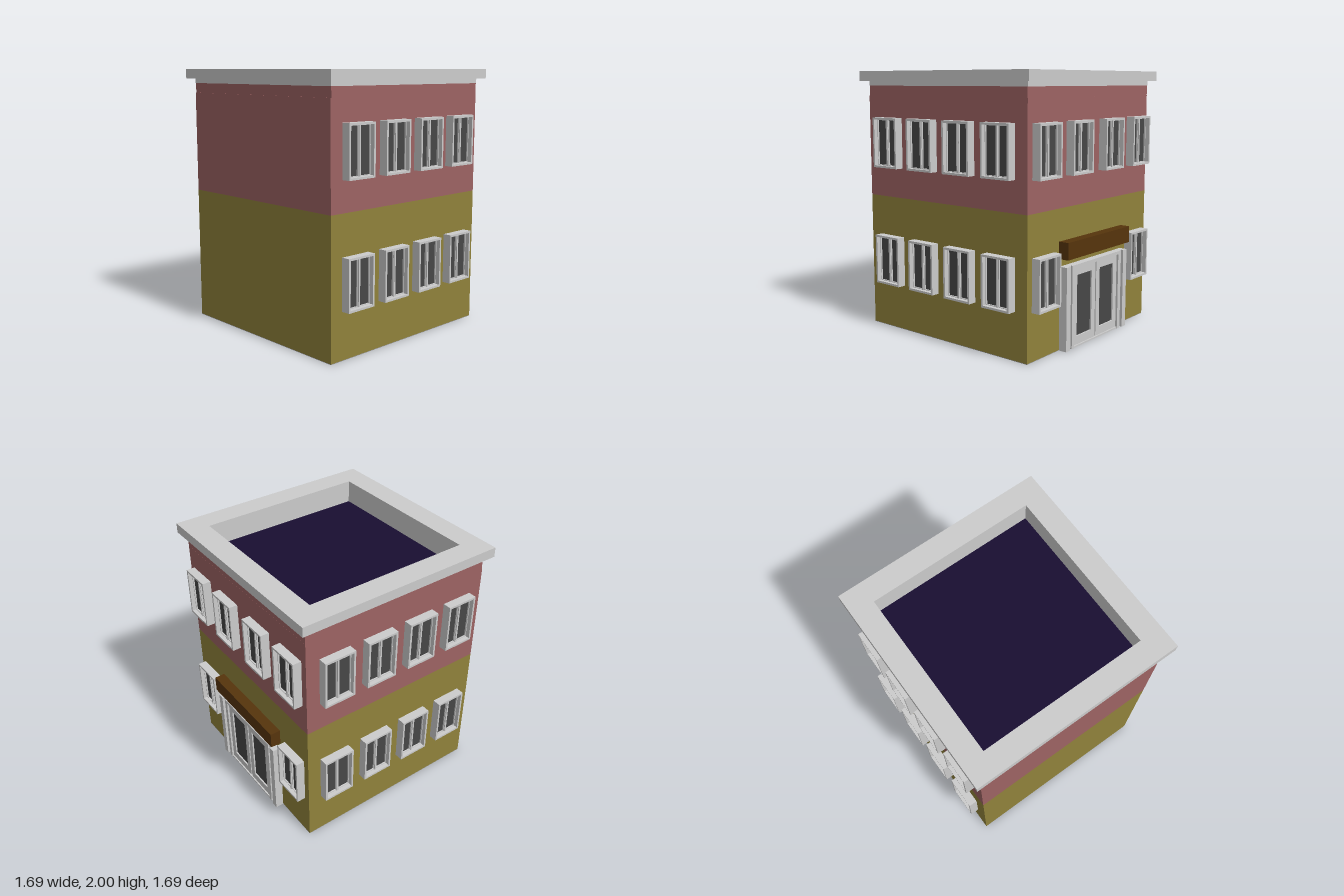
import * as THREE from 'three';

const mat = (color) => new THREE.MeshStandardMaterial({ color });
const GREY = mat(0xcccccc), OLIVE = mat(0x90823b), PINK = mat(0x9d6363);
const NAVY = mat(0x180e31), BROWN = mat(0x56340c), GLASS = mat(0x474747), BASE = mat(0x999999);

const HALF = 0.777;   // half width of the walls
const CZ = 0.0125;    // centre of the building in z

// Box given by its minimum and maximum corners
function box(parent, name, material, [x0, y0, z0], [x1, y1, z1]) {
  const mesh = new THREE.Mesh(new THREE.BoxGeometry(x1 - x0, y1 - y0, z1 - z0), material);
  mesh.position.set((x0 + x1) / 2, (y0 + y1) / 2, (z0 + z1) / 2);
  mesh.name = name;
  parent.add(mesh);
  return mesh;
}

function rect(target, x0, y0, x1, y1) {
  target.moveTo(x0, y0).lineTo(x1, y0).lineTo(x1, y1).lineTo(x0, y1).closePath();
  return target;
}

// Rectangular plate with rectangular holes, extruded along +z
function plate(parent, name, outer, holes, depth) {
  const shape = rect(new THREE.Shape(), ...outer);
  holes.forEach((h) => shape.holes.push(rect(new THREE.Path(), ...h)));
  const mesh = new THREE.Mesh(
    new THREE.ExtrudeGeometry(shape, { depth, bevelEnabled: false }), GREY);
  mesh.name = name;
  parent.add(mesh);
  return mesh;
}

// Horizontal square ring between two heights
function ring(parent, name, material, outer, inner, y0, y1) {
  const mesh = plate(parent, name, [-outer, -outer, outer, outer],
    [[-inner, -inner, inner, inner]], y1 - y0);
  mesh.material = material;
  mesh.rotation.x = -Math.PI / 2;
  mesh.position.set(0, y0, CZ);
}

// Two-pane window facing +z, with its back on z = 0
function makeWindow() {
  const g = new THREE.Group();
  g.name = 'window';
  const w = 0.126, h = 0.191, f = 0.016;
  plate(g, 'windowFrame', [-w, -h, w, h], [[f - w, f - h, w - f, h - f]], 0.067);
  const s = 0.021;
  plate(g, 'windowSash', [f - w, f - h, w - f, h - f],
    [[s - w, s - h, -0.012, h - s], [0.012, s - h, w - s, h - s]], 0.034);
  box(g, 'windowMullion', GREY, [-0.007, f - h, 0.03], [0.007, h - f, 0.042]);
  box(g, 'windowGlass', GLASS, [f - w, f - h, 0], [w - f, h - f, 0.022]);
  return g;
}

// Double entrance door facing +z, with its back on z = 0
function makeEntrance() {
  const g = new THREE.Group();
  g.name = 'entrance';
  for (const s of [-1, 1]) {
    const side = (name, a, b, top, depth) => box(g, name, GREY,
      [Math.min(s * a, s * b), 0, 0], [Math.max(s * a, s * b), top, depth]);
    side('doorPilaster', 0.355, 0.405, 0.62, 0.065);
    side('doorPilasterStep', 0.325, 0.355, 0.62, 0.045);
    side('doorJamb', 0.295, 0.325, 0.62, 0.058);
    // Door leaf with its glass panel
    const leaf = plate(g, 'doorLeaf', [-0.143, 0.012, 0.143, 0.595],
      [[-0.095, 0.075, 0.095, 0.535]], 0.044);
    leaf.position.x = s * 0.149;
    box(g, 'doorGlass', GLASS, [s * 0.149 - 0.1, 0.07, 0], [s * 0.149 + 0.1, 0.54, 0.032]);
  }
  box(g, 'doorHeader', GREY, [-0.295, 0.595, 0], [0.295, 0.62, 0.058]);
  box(g, 'doorBacking', GREY, [-0.295, 0, 0], [0.295, 0.595, 0.02]);
  box(g, 'doorSill', GREY, [-0.295, 0, 0], [0.295, 0.012, 0.055]);
  box(g, 'awning', BROWN, [-0.412, 0.677, 0], [0.412, 0.803, 0.08]);
  return g;
}

export function createModel() {
  const model = new THREE.Group();
  model.name = 'building';
  const zBack = -0.765, zFront = 0.795;

  // Two storeys on a thin base
  box(model, 'base', BASE, [-HALF, 0, zBack], [HALF, 0.004, zFront]);
  box(model, 'lowerStorey', OLIVE, [-HALF, 0.004, zBack], [HALF, 1.04, zFront]);
  box(model, 'upperStorey', PINK, [-HALF, 1.04, zBack], [HALF, 1.815, zFront]);

  // Parapet, cornice and sunken roof deck
  box(model, 'roofDeck', NAVY, [-0.7, 1.8, CZ - 0.7], [0.7, 1.822, CZ + 0.7]);
  ring(model, 'parapetWall', PINK, HALF, 0.7, 1.815, 1.89);
  ring(model, 'parapetLining', GREY, 0.7, 0.652, 1.815, 1.925);
  ring(model, 'corniceBand', GREY, HALF + 0.002, 0.7, 1.89, 1.925);
  ring(model, 'corniceCap', GREY, 0.831, 0.652, 1.925, 2);

  // Windows on both sides and the back; the entrance replaces the middle pair below
  for (const y of [0.546, 1.459]) {
    for (const z of [0.563, 0.199, -0.167, -0.531]) {
      for (const s of [-1, 1]) {
        const win = makeWindow();
        win.position.set(s * HALF, y, z);
        win.rotation.y = s * Math.PI / 2;
        model.add(win);
      }
    }
    for (const x of [-0.6, -0.21, 0.21, 0.6]) {
      if (y < 1 && Math.abs(x) < 0.5) continue;
      const win = makeWindow();
      win.position.set(x, y, zBack);
      win.rotation.y = Math.PI;
      model.add(win);
    }
  }

  const entrance = makeEntrance();
  entrance.position.z = zBack;
  entrance.rotation.y = Math.PI;
  model.add(entrance);
  return model;
}
